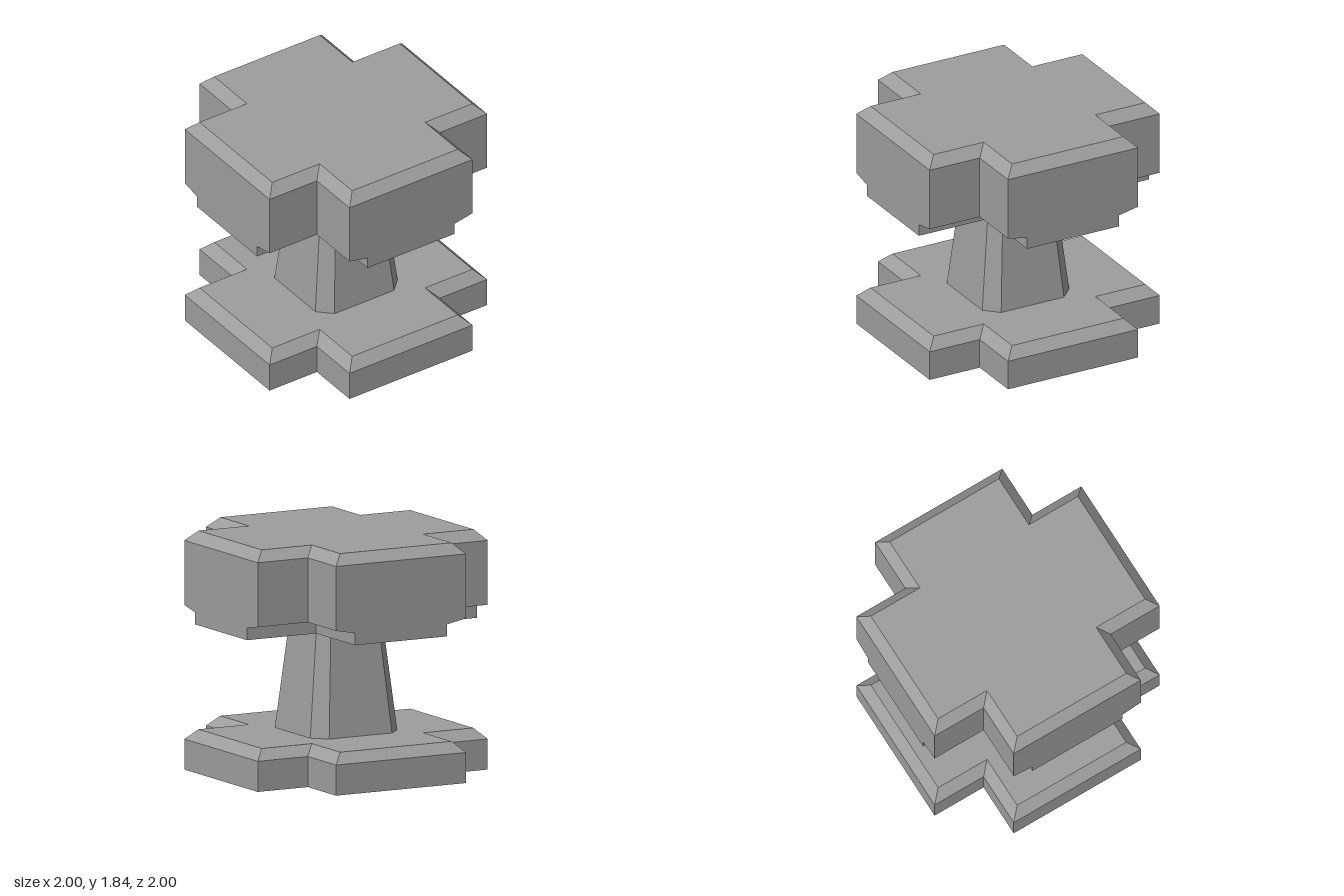
import * as THREE from 'three';

const material = new THREE.MeshStandardMaterial({ color: 0x9d9d9d, flatShading: true });

// Repeat a few outline points by quarter turns, counter-clockwise
function fourfold(points) {
  const ring = [];
  for (let q = 0; q < 4; q++) {
    for (const [x, y] of points) {
      ring.push([[x, y], [-y, x], [-x, -y], [y, -x]][q]);
    }
  }
  return ring;
}

// Plus-shaped outline: arm length and arm half-width
const cross = (length, width) => fourfold([[length, -width], [length, width], [width, width]]);

// Square outline with cut corners
const cutSquare = (half, flat) => fourfold([[half, -flat], [half, flat]]);

// Skin stacked outlines [height, ring] from bottom to top, optionally closing the ends
function loft(name, layers, capped = true) {
  const n = layers[0][1].length;
  const positions = [];
  const index = [];
  for (const [y, ring] of layers) {
    for (const [px, py] of ring) positions.push(px, y, -py);
  }
  for (let i = 0; i < layers.length - 1; i++) {
    for (let j = 0; j < n; j++) {
      const a = i * n + j;
      const b = i * n + ((j + 1) % n);
      index.push(a, b, b + n, a, b + n, a + n);
    }
  }
  if (capped) {
    const outline = layers[0][1].map(([x, y]) => new THREE.Vector2(x, y));
    const top = (layers.length - 1) * n;
    for (const [a, b, c] of THREE.ShapeUtils.triangulateShape(outline, [])) {
      index.push(a, c, b, top + a, top + b, top + c);
    }
  }
  const indexed = new THREE.BufferGeometry();
  indexed.setAttribute('position', new THREE.Float32BufferAttribute(positions, 3));
  indexed.setIndex(index);
  const geometry = indexed.toNonIndexed();
  geometry.computeVertexNormals();
  const mesh = new THREE.Mesh(geometry, material);
  mesh.name = name;
  return mesh;
}

export function createModel() {
  const model = new THREE.Group();
  model.name = 'pedestal';

  // Cross-shaped foot with a bevelled upper rim
  model.add(loft('base', [
    [0, cross(1, 0.565)],
    [0.235, cross(1, 0.565)],
    [0.315, cross(0.92, 0.485)],
  ]));

  // Tapered eight-sided stem
  model.add(loft('column', [
    [0.315, cutSquare(0.378, 0.273)],
    [1.141, cutSquare(0.288, 0.208)],
  ], false));

  // Thick cross-shaped head, undercut below and bevelled above
  model.add(loft('head', [
    [1.141, cross(1, 0.4)],
    [1.233, cross(1, 0.4)],
    [1.266, cross(1, 0.565)],
    [1.761, cross(1, 0.565)],
    [1.841, cross(0.92, 0.485)],
  ]));

  return model;
}
